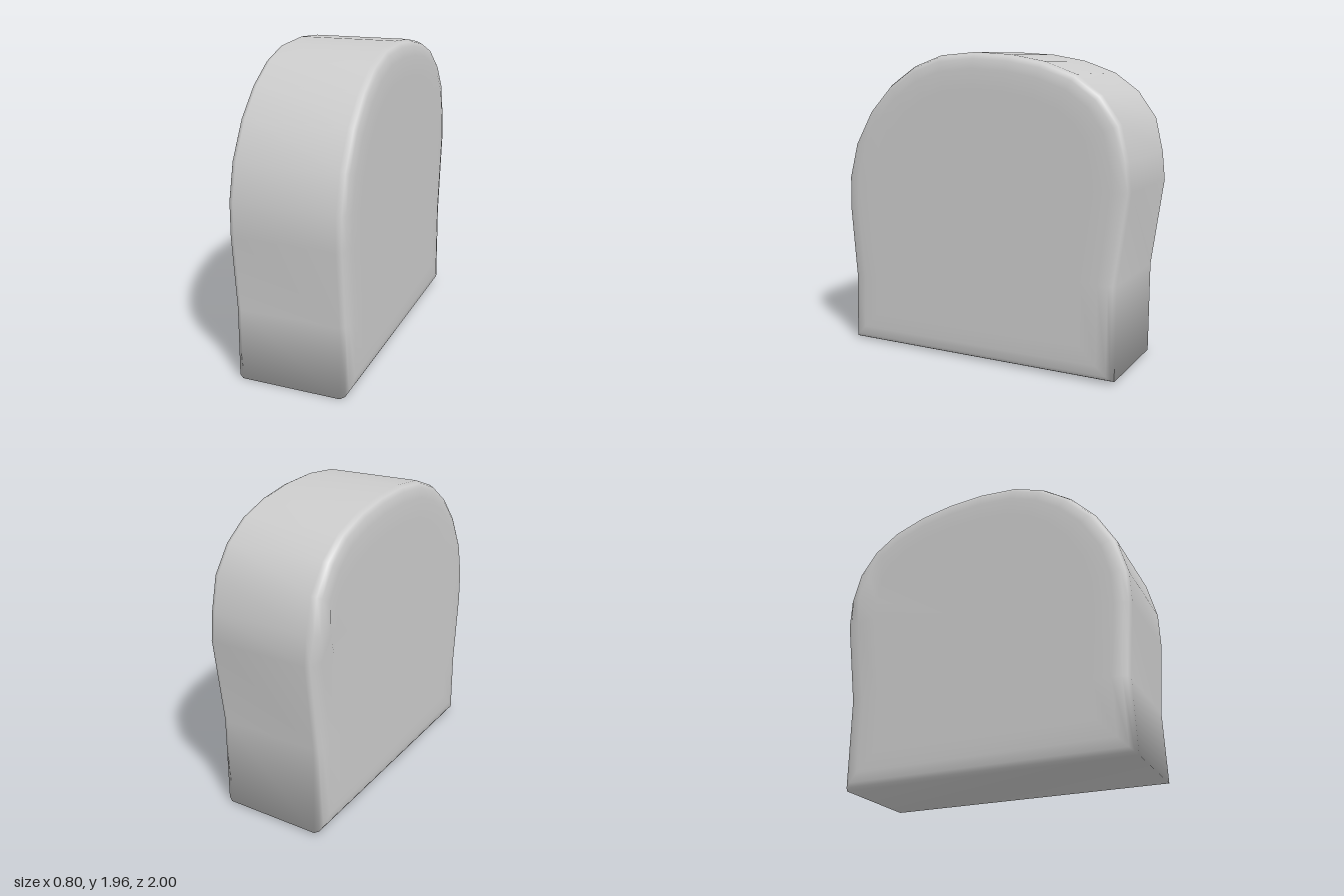
import * as THREE from 'three';

// Outline of the slice as [z, y], from the front foot over the crown to the back foot
const OUTLINE = [
  [0.97, 0], [0.96, 0.45], [1.0, 0.92], [0.995, 1.13], [0.935, 1.36], [0.81, 1.58],
  [0.65, 1.75], [0.47, 1.87], [0.27, 1.94], [0.02, 1.96], [-0.22, 1.945], [-0.44, 1.905],
  [-0.65, 1.83], [-0.81, 1.715], [-0.93, 1.55], [-0.98, 1.34], [-1.0, 1.16],
  [-0.925, 0.6], [-0.925, 0.01],
].map(([z, y]) => new THREE.Vector2(z, y));

// Rounded edge as [x, inset], from the right face to the left face
const RINGS = [
  [-0.358, 0.22], [-0.358, 0.1], [-0.348, 0.04], [-0.333, 0.014], [-0.305, 0],
  [0.33, 0], [0.36, 0.014], [0.376, 0.04], [0.388, 0.1], [0.388, 0.22],
];

// Bump in the crust at the back of the right face: share per outline point, depth per ring
const BUMP_SHARE = { 13: 0.2, 14: 0.3, 15: 1 };
const BUMP_DEPTH = [0, 0.042, 0.03, 0.015];

// Moves the outline inward by a fixed distance, with mitred corners
function insetOutline(d) {
  const n = OUTLINE.length;
  return OUTLINE.map((p, i) => {
    const e0 = p.clone().sub(OUTLINE[(i + n - 1) % n]).normalize();
    const e1 = OUTLINE[(i + 1) % n].clone().sub(p).normalize();
    const n0 = new THREE.Vector2(-e0.y, e0.x);
    const n1 = new THREE.Vector2(-e1.y, e1.x);
    return p.clone().addScaledVector(n0.clone().add(n1), d / (1 + n0.dot(n1)));
  });
}

function sliceGeometry() {
  const n = OUTLINE.length;
  const pos = [];
  const idx = [];
  // The whole slice leans very slightly sideways
  const put = (x, y, z) => pos.push(x - 0.008 * (y - 1) + 0.004 * z, y, z);

  RINGS.forEach(([x, inset], r) => {
    insetOutline(inset).forEach((p, i) => {
      const bump = (BUMP_SHARE[i] ?? 0) * (BUMP_DEPTH[r] ?? 0);
      put(x - bump, p.y, p.x);
    });
  });

  // crust between neighbouring rings
  for (let r = 0; r < RINGS.length - 1; r++) {
    for (let i = 0; i < n; i++) {
      const j = (i + 1) % n;
      const a = r * n + i, b = r * n + j, c = a + n, d = b + n;
      idx.push(a, c, b, b, c, d);
    }
  }

  // flat side faces
  const last = (RINGS.length - 1) * n;
  const centre = pos.length / 3;
  put(RINGS[0][0], 1, 0);
  put(RINGS[RINGS.length - 1][0], 1, 0);
  for (let i = 0; i < n; i++) {
    const j = (i + 1) % n;
    idx.push(centre, i, j, centre + 1, last + j, last + i);
  }

  const geo = new THREE.BufferGeometry();
  geo.setAttribute('position', new THREE.Float32BufferAttribute(pos, 3));
  geo.setIndex(idx);
  geo.computeVertexNormals();
  return geo;
}

export function createModel() {
  const group = new THREE.Group();
  group.name = 'breadSlice';
  const slice = new THREE.Mesh(
    sliceGeometry(),
    new THREE.MeshStandardMaterial({ color: 0xcccccc }),
  );
  slice.name = 'slice';
  group.add(slice);
  return group;
}
